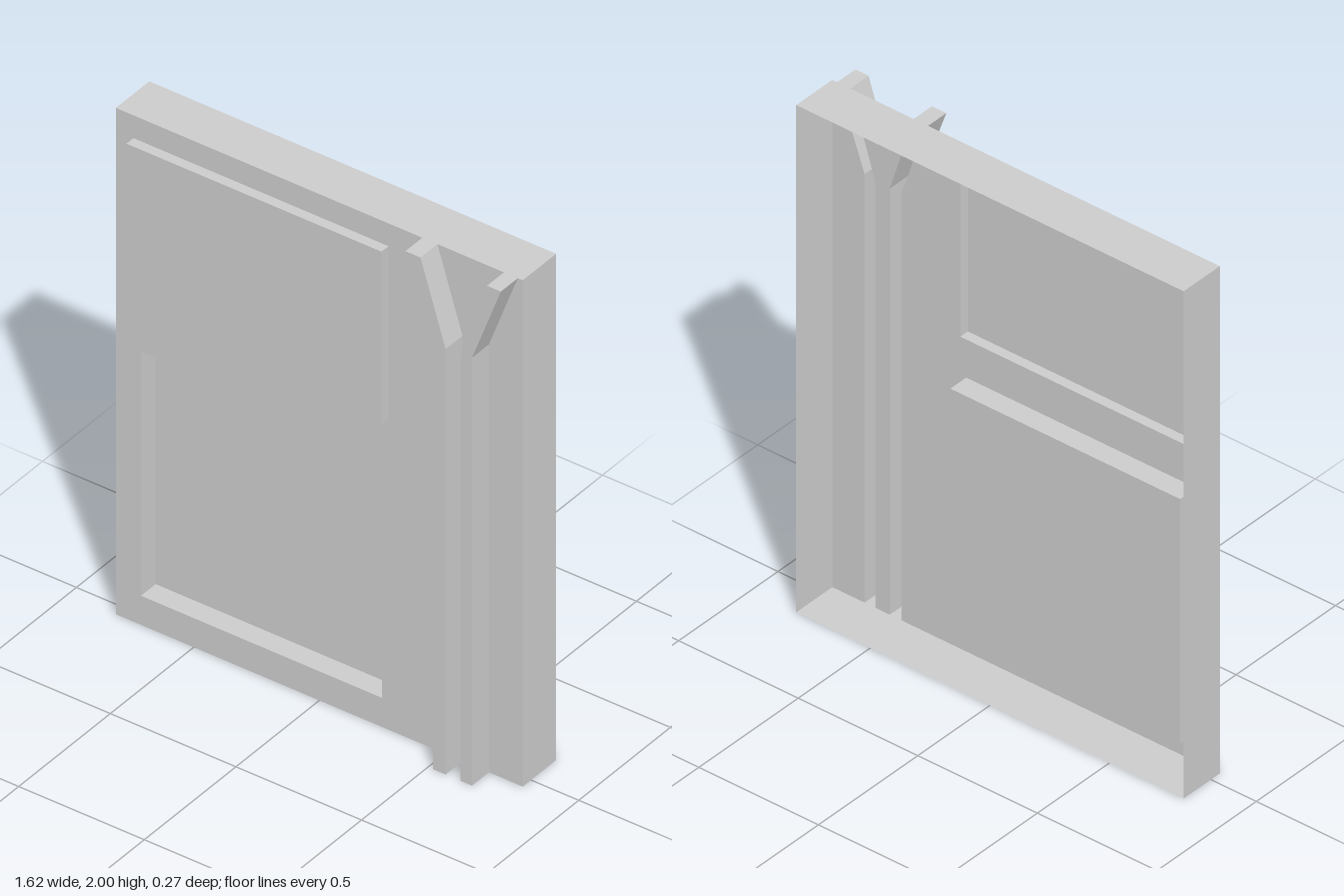
import * as THREE from 'three';

const W = 0.81, H = 2, BACK = -0.137, FACE = 0.045, RIB = 0.137;
const material = new THREE.MeshStandardMaterial({ color: 0xcccccc, flatShading: true, side: THREE.DoubleSide });

const points = (loop) => loop.map(([x, y]) => new THREE.Vector2(x, y));

// Flat sheet facing +z, with optional holes
function sheet(name, loop, z, holes = []) {
  const shape = new THREE.Shape(points(loop));
  holes.forEach((h) => shape.holes.push(new THREE.Path(points(h))));
  const mesh = new THREE.Mesh(new THREE.ShapeGeometry(shape), material);
  mesh.position.z = z;
  mesh.name = name;
  return mesh;
}

// Band of walls around a counter-clockwise loop, from z0 to z1
function walls(name, loop, z0, z1) {
  const pos = [];
  loop.forEach(([ax, ay], i) => {
    const [bx, by] = loop[(i + 1) % loop.length];
    pos.push(ax, ay, z0, bx, by, z0, bx, by, z1, ax, ay, z0, bx, by, z1, ax, ay, z1);
  });
  const geo = new THREE.BufferGeometry();
  geo.setAttribute('position', new THREE.Float32BufferAttribute(pos, 3));
  geo.computeVertexNormals();
  const mesh = new THREE.Mesh(geo, material);
  mesh.name = name;
  return mesh;
}

// Hollow pressing in the face sheet: raised or sunk to z
function pressing(name, loop, z) {
  const group = new THREE.Group();
  group.name = name;
  group.add(walls(name + 'Walls', loop, FACE, z), sheet(name + 'Face', loop, z));
  return group;
}

export function createModel() {
  const model = new THREE.Group();
  model.name = 'wallPanel';

  const outline = [[-W, 0], [W, 0], [W, H], [-W, H]];
  const upper = [[-0.735, 1.23], [0.275, 1.23], [0.275, 1.91], [-0.74, 1.91]];
  const lower = [[-0.71, 0.115], [0.25, 0.115], [0.25, 1.08], [-0.71, 1.08]];

  // Edges of the two forked ribs, bottom to top
  const e1 = [[0.52, 0], [0.52, 1.69], [0.41, H]];
  const e2 = [[0.57, 0], [0.57, 1.68], [0.47, H]];
  const e3 = [[0.63, 0], [0.63, 1.68], [0.735, H]];
  const e4 = [[0.675, 0], [0.675, 1.69], [0.79, H]];
  const between = (a, b) => [...[...a].reverse(), ...b];

  // Open-backed casing
  model.add(walls('casingSides', outline, BACK, FACE));

  // Face sheet, split by the ribs
  model.add(
    sheet('faceMain', between([[-W, 0], [-W, H]], e1), FACE, [upper, lower]),
    sheet('faceMiddle', between(e2, e3), FACE),
    sheet('faceEdge', between(e4, [[W, 0], [W, H]]), FACE),
  );

  // Raised upper panel, sunken lower panel, hollow ribs
  model.add(
    pressing('upperPanel', upper, 0.083),
    pressing('lowerPanel', lower, -0.035),
    pressing('rightRib', between(e1, e2), RIB),
    pressing('leftRib', between(e3, e4), RIB),
  );
  return model;
}
